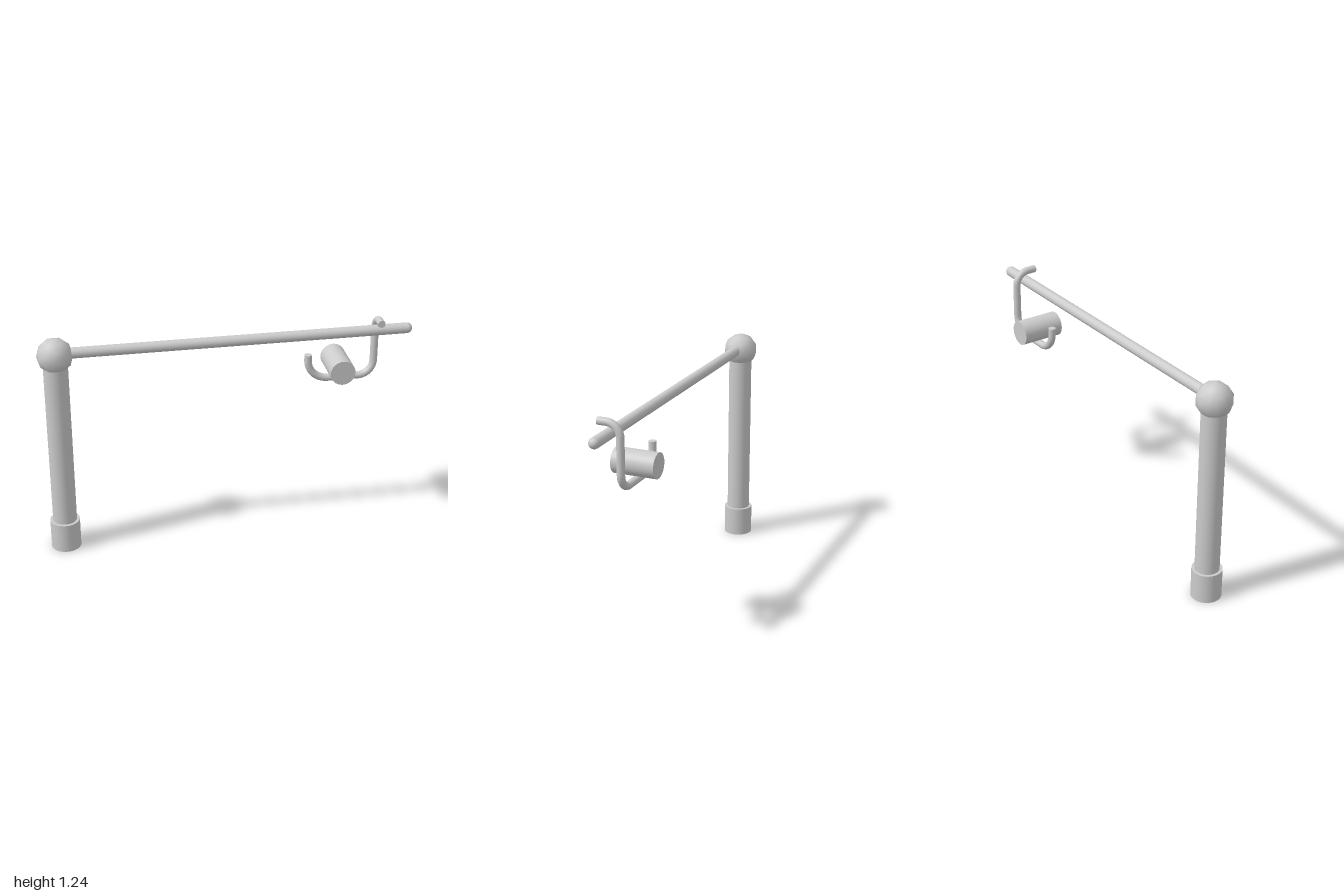
import * as THREE from 'three';

const material = new THREE.MeshStandardMaterial({ color: 0xcccccc });

function createPart(group, name, geometry, x = 0, y = 0, z = 0) {
  const mesh = new THREE.Mesh(geometry, material);
  mesh.name = name;
  mesh.position.set(x, y, z);
  group.add(mesh);
  return mesh;
}

// Straight runs joined by circular-looking bends; bends[i] is the radius at inner corner i
function bentPath(corners, bends) {
  const path = new THREE.CurvePath();
  let start = corners[0];
  for (let i = 1; i < corners.length - 1; i++) {
    const c = corners[i];
    const toPrev = corners[i - 1].clone().sub(c).normalize();
    const toNext = corners[i + 1].clone().sub(c).normalize();
    const along = (dir, d) => c.clone().addScaledVector(dir, d);
    const r = bends[i - 1];
    const a = along(toPrev, r), b = along(toNext, r);
    path.add(new THREE.LineCurve3(start, a));
    path.add(new THREE.CubicBezierCurve3(a, along(toPrev, r * 0.45), along(toNext, r * 0.45), b));
    start = b;
  }
  path.add(new THREE.LineCurve3(start, corners[corners.length - 1]));
  return path;
}

export function createModel() {
  const model = new THREE.Group();
  model.name = 'stand';
  const postX = -0.907, axisZ = 0.035;

  // Upright post in a wider foot, with a ball joint on top
  createPart(model, 'foot', new THREE.CylinderGeometry(0.081, 0.081, 0.165, 32), postX, 0.0825, axisZ);
  createPart(model, 'post', new THREE.CylinderGeometry(0.065, 0.065, 1.0, 32), postX, 0.63, axisZ);
  createPart(model, 'ballJoint', new THREE.IcosahedronGeometry(0.096, 1), postX, 1.147, axisZ);

  // Horizontal arm with a rounded tip
  const arm = createPart(model, 'arm', new THREE.CapsuleGeometry(0.029, 1.83, 5, 20), 0.056, 1.155, axisZ);
  arm.rotation.z = -Math.PI / 2;

  // Hook hanging over the arm
  const hook = new THREE.Group();
  hook.name = 'hook';
  model.add(hook);
  const radius = 0.0205, hookZ = -0.024;
  const path = bentPath([
    new THREE.Vector3(0.813, 1.213, 0.096),
    new THREE.Vector3(0.813, 1.213, hookZ),
    new THREE.Vector3(0.813, 0.869, hookZ),
    new THREE.Vector3(0.448, 0.869, hookZ),
    new THREE.Vector3(0.448, 1.012, hookZ),
  ], [0.075, 0.085, 0.11]);
  createPart(hook, 'hookRod', new THREE.TubeGeometry(path, 90, radius, 14, false));
  for (const [t, sign] of [[0, -1], [1, 1]]) {
    const p = path.getPointAt(t);
    const cap = createPart(hook, 'hookEnd', new THREE.CircleGeometry(radius, 14), p.x, p.y, p.z);
    cap.quaternion.setFromUnitVectors(new THREE.Vector3(0, 0, 1), path.getTangentAt(t).multiplyScalar(sign));
  }

  // Roller resting in the hook
  const roller = createPart(model, 'roller', new THREE.CylinderGeometry(0.068, 0.068, 0.235, 32), 0.612, 0.947, -0.0155);
  roller.rotation.x = Math.PI / 2;

  return model;
}
